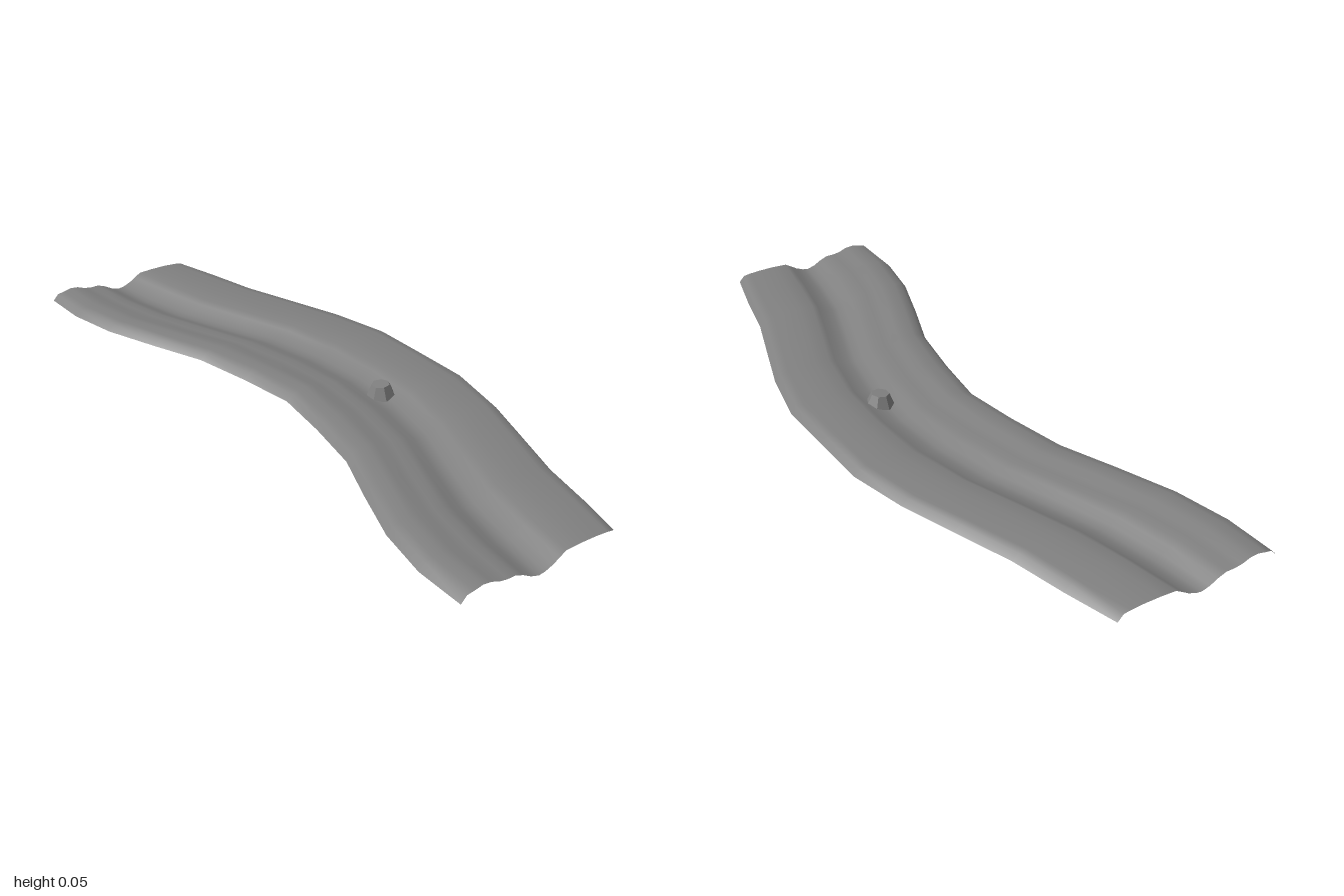
import * as THREE from 'three';

// Stations along half the bend: [x, back edge z, front edge z, rut depth factor]
const HALF = [
  [0, -0.355, 0.13, 0.75],
  [0.18, -0.355, 0.155, 0.78],
  [0.36, -0.316, 0.19, 0.8],
  [0.52, -0.263, 0.253, 0.88],
  [0.69, -0.206, 0.315, 0.95],
  [0.85, -0.17, 0.347, 1],
  [1, -0.13, 0.35, 1],
];

// Cross-section from back to front: [fraction of width, height]
const PROFILE = [
  [0, 0.017], [0.035, 0.035], [0.08, 0.037], [0.16, 0.041], [0.26, 0.041],
  [0.35, 0.037], [0.39, 0.026], [0.43, 0.014], [0.48, 0.004], [0.52, 0.001],
  [0.57, 0.008], [0.62, 0.021], [0.67, 0.03], [0.72, 0.031], [0.77, 0.034],
  [0.82, 0.041], [0.87, 0.043], [0.92, 0.039], [0.965, 0.035], [1, 0.017],
];

function roadGeometry() {
  const mirrored = HALF.slice(1).reverse().map(([x, ...rest]) => [-x, ...rest]);
  const stations = [...mirrored, ...HALF];
  const cols = PROFILE.length;
  const positions = [];
  const index = [];
  stations.forEach(([x, back, front, depth], i) => {
    PROFILE.forEach(([t, h], j) => {
      const inner = j > 1 && j < cols - 2;
      // the rut is shallower in the middle of the bend, ridges waver slightly
      let y = h < 0.03 && inner ? 0.034 - (0.034 - h) * depth : h;
      if (inner) y += 0.0015 * Math.sin(i * 2.1 + j * 1.3) * (h > 0.03 ? 1 : 0);
      positions.push(x, Math.max(y, 0), back + (front - back) * t);
      if (i && j) {
        const d = i * cols + j, c = d - 1, b = d - cols, a = b - 1;
        index.push(a, b, d, a, d, c);
      }
    });
  });
  const geometry = new THREE.BufferGeometry();
  geometry.setAttribute('position', new THREE.Float32BufferAttribute(positions, 3));
  geometry.setIndex(index);
  geometry.computeVertexNormals();
  return geometry;
}

export function createModel() {
  const group = new THREE.Group();
  group.name = 'rutted road bend';
  const dirt = new THREE.MeshStandardMaterial({ color: 0x808080, side: THREE.DoubleSide });
  dirt.name = 'grey dirt';

  // Curved, open road sheet
  const road = new THREE.Mesh(roadGeometry(), dirt);
  road.name = 'road surface';
  group.add(road);

  // Small faceted stone lying in the rut
  const stoneShape = new THREE.CylinderGeometry(0.026, 0.043, 0.038, 7).toNonIndexed();
  stoneShape.computeVertexNormals();
  const stone = new THREE.Mesh(stoneShape, dirt);
  stone.name = 'stone';
  stone.position.set(0.108, 0.027, -0.112);
  stone.rotation.set(0.06, 0.4, 0);
  group.add(stone);
  return group;
}
